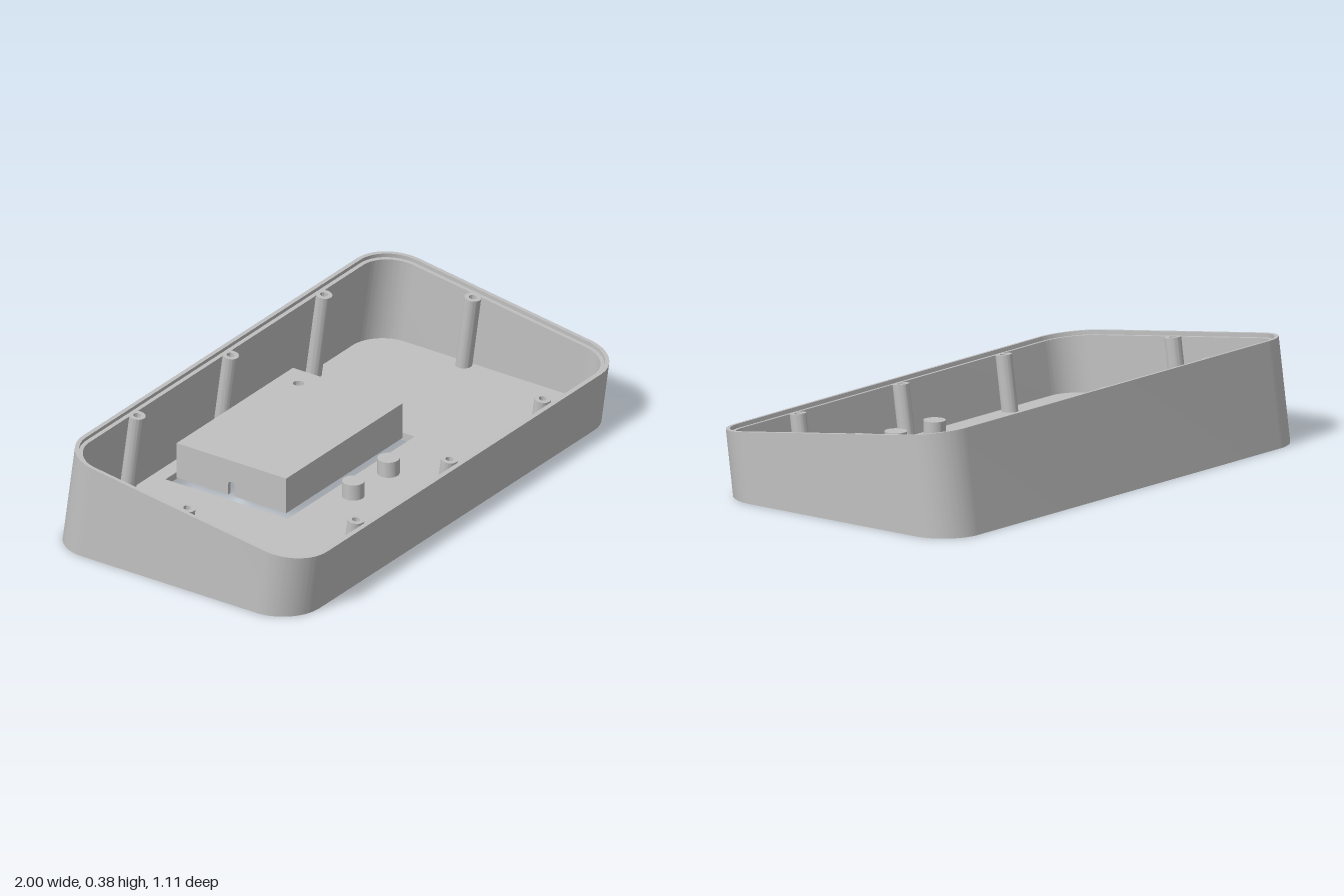
import * as THREE from 'three';
import { toCreasedNormals } from 'three/addons/utils/BufferGeometryUtils.js';

// The rim lies in a plane tilted by 8 degrees; the walls stand square to it.
const TILT = THREE.MathUtils.degToRad(7.95);
const S = Math.sin(TILT), C = Math.cos(TILT);
const MID_Y = 0.309, MID_Z = 0.03;
const HALF_W = 1, HALF_L = 0.535, RADIUS = 0.16, WALL = 0.03, FLOOR = 0.03;

// Rounded rectangle, inset from the outer outline
function outline(inset, Type = THREE.Shape) {
  const r = RADIUS - inset, x = HALF_W - RADIUS, y = HALF_L - RADIUS;
  const p = new Type();
  p.absarc(x, y, r, 0, Math.PI / 2);
  p.absarc(-x, y, r, Math.PI / 2, Math.PI);
  p.absarc(-x, -y, r, Math.PI, Math.PI * 1.5);
  p.absarc(x, -y, r, Math.PI * 1.5, Math.PI * 2);
  p.closePath();
  return p;
}

function circle(x, y, r, Type = THREE.Shape) {
  return new Type().absarc(x, y, r, 0, Math.PI * 2);
}

function rect(x0, y0, x1, y1, Type = THREE.Shape) {
  return new Type().setFromPoints([
    new THREE.Vector2(x0, y0), new THREE.Vector2(x1, y0),
    new THREE.Vector2(x1, y1), new THREE.Vector2(x0, y1), new THREE.Vector2(x0, y0),
  ]);
}

// Distance below the rim plane: a fixed drop, or down to a level height
const drop = (d) => () => d;
const level = (y) => (v) => (MID_Y - v * S - y) / C;

// Extrude a plan shape along the tilted axis between two depths
function tilted(shape, bottom, top) {
  const g = new THREE.ExtrudeGeometry(shape, { depth: 1, bevelEnabled: false, curveSegments: 16 });
  const p = g.attributes.position;
  for (let i = 0; i < p.count; i++) {
    const v = -p.getY(i);
    const t = (p.getZ(i) > 0.5 ? top : bottom)(v);
    p.setXYZ(i, p.getX(i), MID_Y - v * S - t * C, MID_Z + v * C - t * S);
  }
  return toCreasedNormals(g, 0.5);
}

// Plan coordinate of a point given by its z at ground level
const planY = (z) => -(z - MID_Z + MID_Y * S / C) * C;

export function createModel() {
  const model = new THREE.Group();
  const grey = new THREE.MeshStandardMaterial({ color: 0xc0c0c0 });
  grey.name = 'grey plastic';
  const add = (name, geometry, parent = model) => {
    const mesh = new THREE.Mesh(geometry, grey);
    mesh.name = name;
    parent.add(mesh);
    return mesh;
  };

  // Wall in two layers, the inner one stepped down to seat a lid
  const outer = outline(0);
  outer.holes.push(outline(WALL / 2, THREE.Path));
  add('outerWall', tilted(outer, level(0), drop(0)));
  const inner = outline(WALL / 2);
  inner.holes.push(outline(WALL, THREE.Path));
  add('innerWall', tilted(inner, level(0), drop(0.015)));

  // Floor with display window and button holes
  const buttons = [];
  for (const x of [-0.108, 0.108]) for (const z of [0.155, 0.43]) buttons.push([x, z]);
  const floor = outline(WALL);
  floor.holes.push(rect(-0.39, planY(0.065), 0.39, planY(-0.465), THREE.Path));
  for (const [x, z] of buttons) floor.holes.push(circle(x, planY(z), 0.018, THREE.Path));
  add('floor', tilted(floor, level(0), level(FLOOR)));

  // Button caps, hollow from below
  const capProfile = [[0, 0.075], [0.018, 0.075], [0.018, FLOOR], [0.04, FLOOR], [0.04, 0.09], [0, 0.09]]
    .map(([x, y]) => new THREE.Vector2(x, y));
  const cap = toCreasedNormals(new THREE.LatheGeometry(capProfile, 32), 0.5);
  for (const [x, z] of buttons) add('buttonCap', cap).position.set(x, 0, z);

  // Screw posts along the walls
  const posts = [[-0.948, 0], [0.945, -0.1]];
  for (const x of [-0.573, 0, 0.573]) posts.push([x, -0.487], [x, 0.472]);
  for (const [x, v] of posts) {
    const post = circle(x, -v, 0.03);
    post.holes.push(circle(x, -v, 0.014, THREE.Path));
    add('screwPost', tilted(post, level(FLOOR - 0.005), drop(0.012)));
  }

  // Display cover: an open-bottomed box floating over the window
  const cover = new THREE.Group();
  cover.name = 'displayCover';
  cover.position.set(0, FLOOR, -0.198);
  model.add(cover);
  const W = 0.357, L = 0.238, H = 0.138, T = 0.015;
  const lid = rect(-W, -L, W, L);
  lid.holes.push(circle(0.27, 0.152, 0.02, THREE.Path));
  const lidGeo = new THREE.ExtrudeGeometry(lid, { depth: T, bevelEnabled: false, curveSegments: 16 });
  lidGeo.rotateX(-Math.PI / 2).translate(0, H - T, 0);
  add('coverTop', toCreasedNormals(lidGeo, 0.5), cover);
  for (const side of [-1, 1]) {
    add('coverLongWall', new THREE.BoxGeometry(W * 2, H - T, T), cover)
      .position.set(0, (H - T) / 2, side * (L - T / 2));
    // End wall with a cable notch at its foot
    const l = L - T, n = 0.014, end = new THREE.Shape();
    end.moveTo(-l, 0).lineTo(-n, 0).lineTo(-n, 0.04);
    end.absarc(0, 0.04, n, Math.PI, 0, true);
    end.lineTo(n, 0).lineTo(l, 0).lineTo(l, H - T).lineTo(-l, H - T).closePath();
    const endGeo = new THREE.ExtrudeGeometry(end, { depth: T, bevelEnabled: false });
    endGeo.translate(0, 0, -T / 2).rotateY(Math.PI / 2);
    add('coverEndWall', toCreasedNormals(endGeo, 0.5), cover).position.x = side * (W - T / 2);
  }
  return model;
}
